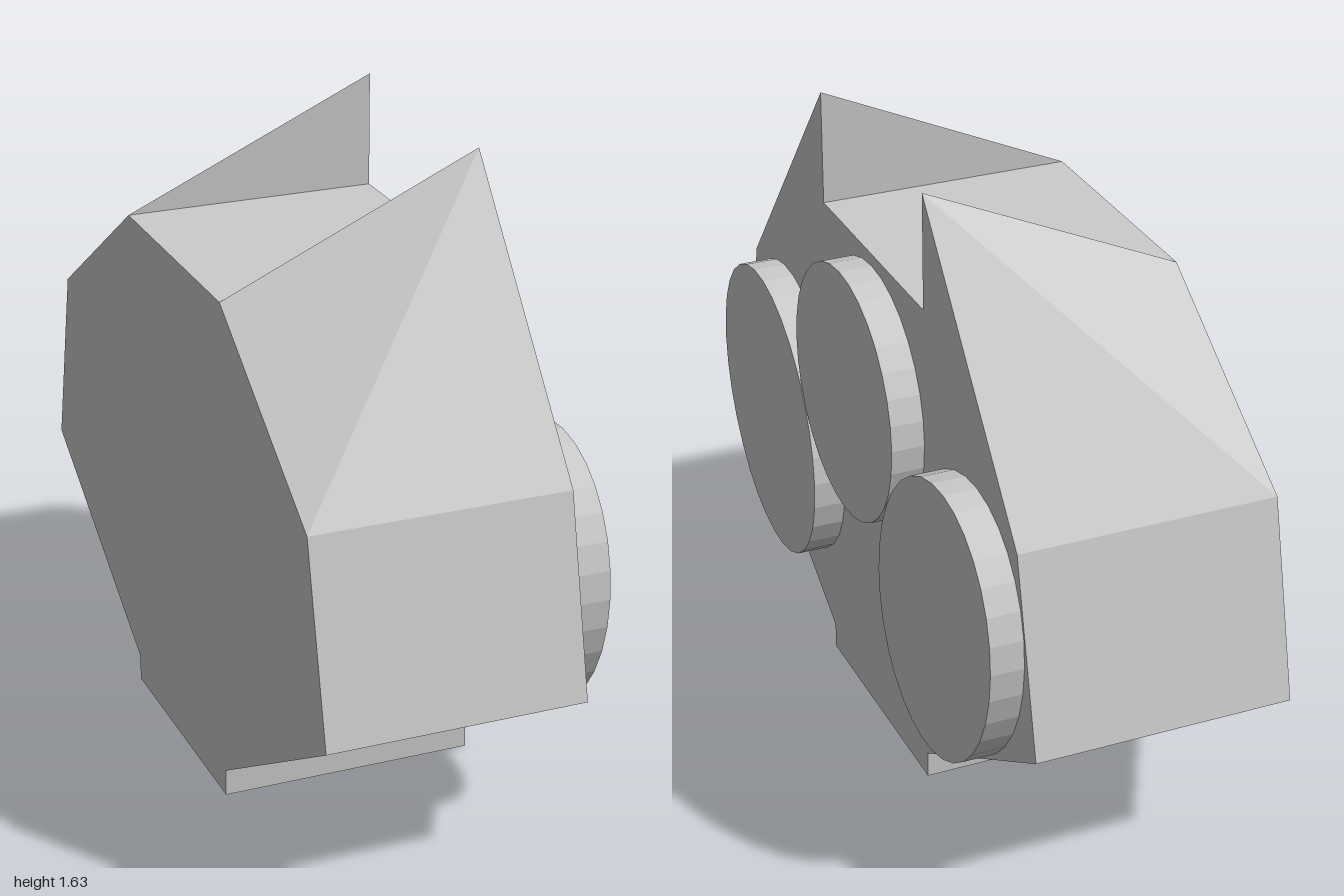
import * as THREE from 'three';

const LEFT = 0.29, RIGHT = -0.375, OUTER = 0.375, TOP = 1.335;

// Half outline as [z, y], from the foot up to the horn and into the notch
const half = [[0.333, 0], [0.333, 0.07], [1, 0.47], [0.885, 0.97], [0.333, 1.635], [0.333, TOP]];

function bodyGeometry() {
  const ring = [...half, ...half.map(([z, y]) => [-z, y]).reverse()];
  const n = ring.length;
  const L = ring.map(([z, y]) => new THREE.Vector3(LEFT, y, z));
  // On the far side the horns run out into the flat top
  const R = ring.map(([z, y]) => new THREE.Vector3(RIGHT, Math.min(y, TOP), z));
  const pos = [];
  const tri = (a, b, c) => {
    if (new THREE.Triangle(a, b, c).getArea() > 1e-6) for (const p of [a, b, c]) pos.push(p.x, p.y, p.z);
  };

  // Sides, with mirrored diagonals
  for (let i = 0; i < n; i++) {
    const j = (i + 1) % n;
    if (i < n / 2) {
      tri(R[i], L[i], L[j]);
      tri(R[i], L[j], R[j]);
    } else {
      tri(R[i], L[i], R[j]);
      tri(L[i], L[j], R[j]);
    }
  }

  // End faces
  const cap = (points, flip) => {
    const flat = points.map((p) => new THREE.Vector2(p.z, p.y));
    for (const [a, b, c] of THREE.ShapeUtils.triangulateShape(flat, [])) {
      if (flip) tri(points[a], points[c], points[b]);
      else tri(points[a], points[b], points[c]);
    }
  };
  cap(L, true);
  cap(R.filter((p, i) => i !== 4 && i !== 7), false);

  const geometry = new THREE.BufferGeometry();
  geometry.setAttribute('position', new THREE.Float32BufferAttribute(pos, 3));
  geometry.computeVertexNormals();
  return geometry;
}

export function createModel() {
  const model = new THREE.Group();
  const material = new THREE.MeshStandardMaterial({ color: 0xcccccc, flatShading: true });

  const body = new THREE.Mesh(bodyGeometry(), material);
  body.name = 'body';
  model.add(body);

  // Raised discs: a round one in the middle, tilted ovals either side
  const addDisc = (name, y, z, length, tilt) => {
    const geometry = new THREE.CylinderGeometry(0.333, 0.333, OUTER - LEFT, 32);
    geometry.rotateZ(-Math.PI / 2);
    geometry.scale(1, length / 0.333, 1);
    const disc = new THREE.Mesh(geometry, material);
    disc.name = name;
    disc.rotation.x = tilt;
    disc.position.set((LEFT + OUTER) / 2, y, z);
    model.add(disc);
  };
  addDisc('middleDisc', 0.97, 0, 0.333, 0);
  addDisc('frontDisc', 0.637, 0.58, 0.4, Math.PI / 6);
  addDisc('backDisc', 0.637, -0.58, 0.4, -Math.PI / 6);

  return model;
}
